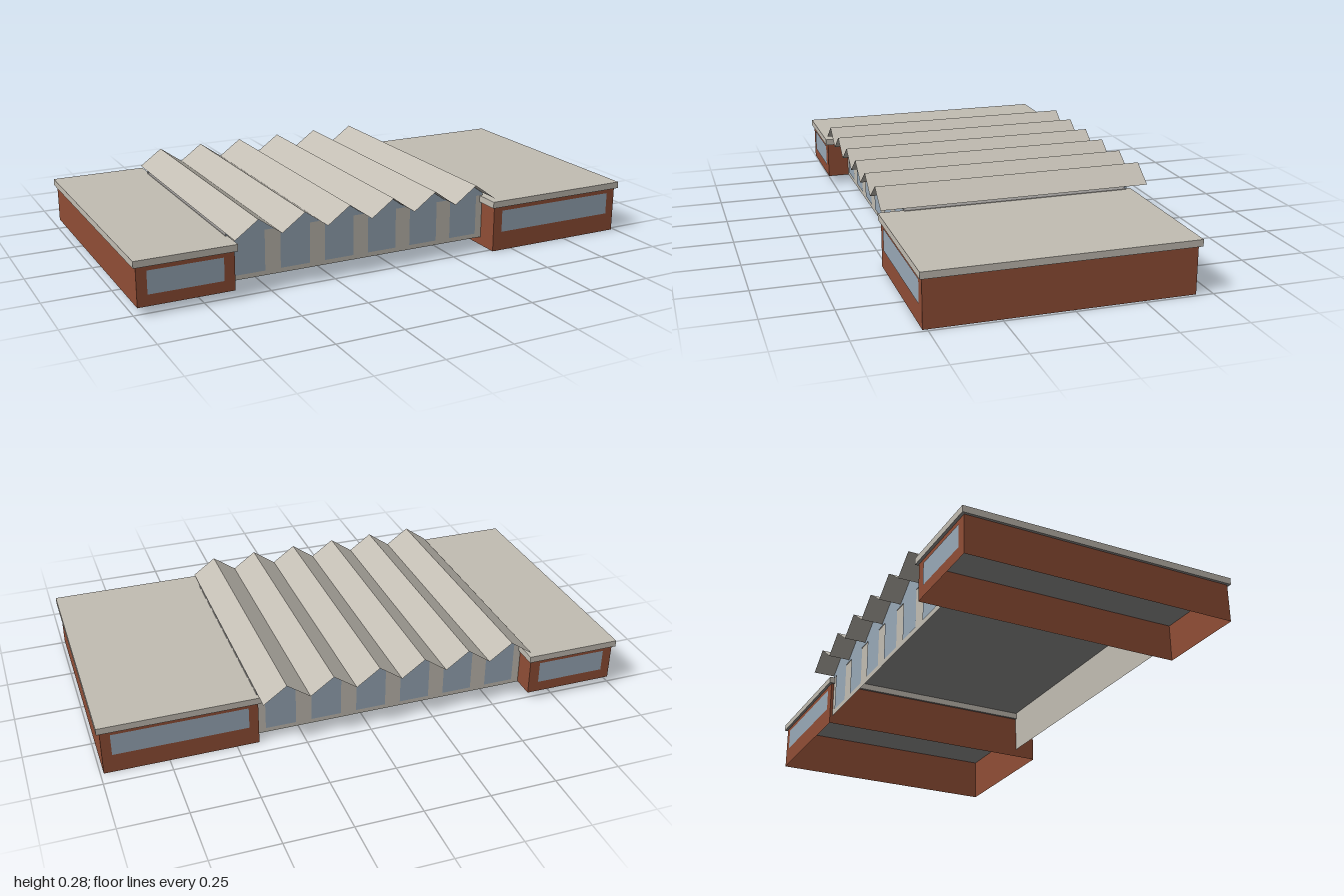
import * as THREE from 'three';

const concrete = new THREE.MeshStandardMaterial({ name: 'concrete', color: 0xc2bdb3, side: THREE.DoubleSide });
const soffit = new THREE.MeshStandardMaterial({ name: 'soffit', color: 0x969492, side: THREE.DoubleSide });
const brick = new THREE.MeshStandardMaterial({ name: 'brick', color: 0x904e36, side: THREE.DoubleSide });
const glass = new THREE.MeshStandardMaterial({ name: 'glass', color: 0x99a9b8, side: THREE.DoubleSide });

function add(parent, name, geometry, material) {
  const mesh = new THREE.Mesh(geometry, material);
  mesh.name = name;
  parent.add(mesh);
  return mesh;
}

// Box given by its lower and upper corners
function boxBetween([x0, y0, z0], [x1, y1, z1]) {
  return new THREE.BoxGeometry(x1 - x0, y1 - y0, z1 - z0)
    .translate((x0 + x1) / 2, (y0 + y1) / 2, (z0 + z1) / 2);
}

// Four walls without top or bottom
function walls(lo, hi) {
  const g = boxBetween(lo, hi);
  const index = Array.from(g.index.array).filter((_, i) => i < 12 || i >= 24);
  g.clearGroups();
  g.setIndex(index);
  return g;
}

// Flat-roofed brick wing with a ribbon window at the front and the back
function makeWing(name, { x0, x1, y0, zBack, zFront, roofX, windowX }) {
  const wing = new THREE.Group();
  wing.name = name;
  add(wing, 'brickWalls', walls([x0, y0, zBack], [x1, 0.178, zFront]), brick);
  add(wing, 'flatRoof', boxBetween([roofX[0], 0.176, zBack - 0.011], [roofX[1], 0.201, zFront + 0.009]),
    [concrete, concrete, concrete, soffit, concrete, concrete]);
  const sill = 0.074, head = 0.159;
  for (const [side, z, turn] of [['front', zFront + 0.0015, 0], ['back', zBack - 0.0015, Math.PI]]) {
    const pane = add(wing, side + 'Window',
      new THREE.PlaneGeometry(windowX[1] - windowX[0], head - sill), glass);
    pane.position.set((windowX[0] + windowX[1]) / 2, (sill + head) / 2, z);
    pane.rotation.y = turn;
  }
  return wing;
}

// Central hall, set back under the ends of a folded roof
function makeHall() {
  const hall = new THREE.Group();
  hall.name = 'centralHall';
  const left = -0.639, right = 0.4175, bays = 6, w = (right - left) / bays;
  const valley = 0.212, ridge = 0.275, roofHalf = 0.517, wallHalf = 0.43, wallTop = 0.203;
  add(hall, 'hallWalls', walls([left, 0.032, -wallHalf], [right, wallTop, wallHalf]), concrete);
  add(hall, 'hallCeiling', new THREE.PlaneGeometry(right - left, wallHalf * 2)
    .rotateX(Math.PI / 2).translate((left + right) / 2, wallTop, 0), soffit);

  // Zigzag roof profile
  const profile = [];
  for (let i = 0; i <= bays * 2; i++) profile.push([left + i * w / 2, i % 2 ? ridge : valley]);

  // Folded roof sheet, one flat strip per slope
  const positions = [];
  for (let i = 0; i < profile.length - 1; i++) {
    const [ax, ay] = profile[i], [bx, by] = profile[i + 1], d = roofHalf;
    positions.push(ax, ay, d, bx, by, d, bx, by, -d, ax, ay, d, bx, by, -d, ax, ay, -d);
  }
  const roof = new THREE.BufferGeometry();
  roof.setAttribute('position', new THREE.Float32BufferAttribute(positions, 3));
  roof.computeVertexNormals();
  add(hall, 'foldedRoof', roof, concrete);

  // Glazing: one tall pane per bay, joined by the gables above the piers
  const pane = new THREE.Shape();
  const sill = 0.05, halfPane = 0.058;
  pane.moveTo(left, wallTop);
  for (let i = 0; i < bays; i++) {
    const c = left + (i + 0.5) * w;
    pane.lineTo(c - halfPane, wallTop);
    pane.lineTo(c - halfPane, sill);
    pane.lineTo(c + halfPane, sill);
    pane.lineTo(c + halfPane, wallTop);
  }
  pane.lineTo(right, wallTop);
  for (const [x, y] of profile.slice().reverse()) pane.lineTo(x, y - 0.001);
  for (const [side, z] of [['front', wallHalf + 0.002], ['back', -wallHalf - 0.002]]) {
    add(hall, side + 'Glazing', new THREE.ShapeGeometry(pane), glass).position.z = z;
  }
  return hall;
}

export function createModel() {
  const model = new THREE.Group();
  model.name = 'building';
  model.add(makeWing('largeWing', {
    x0: 0.416, x1: 0.988, y0: 0, zBack: -0.441, zFront: 0.516,
    roofX: [0.406, 1], windowX: [0.452, 0.952],
  }));
  model.add(makeWing('smallWing', {
    x0: -0.99, x1: -0.6405, y0: 0.032, zBack: -0.514, zFront: 0.516,
    roofX: [-1, -0.631], windowX: [-0.953, -0.68],
  }));
  model.add(makeHall());
  return model;
}
